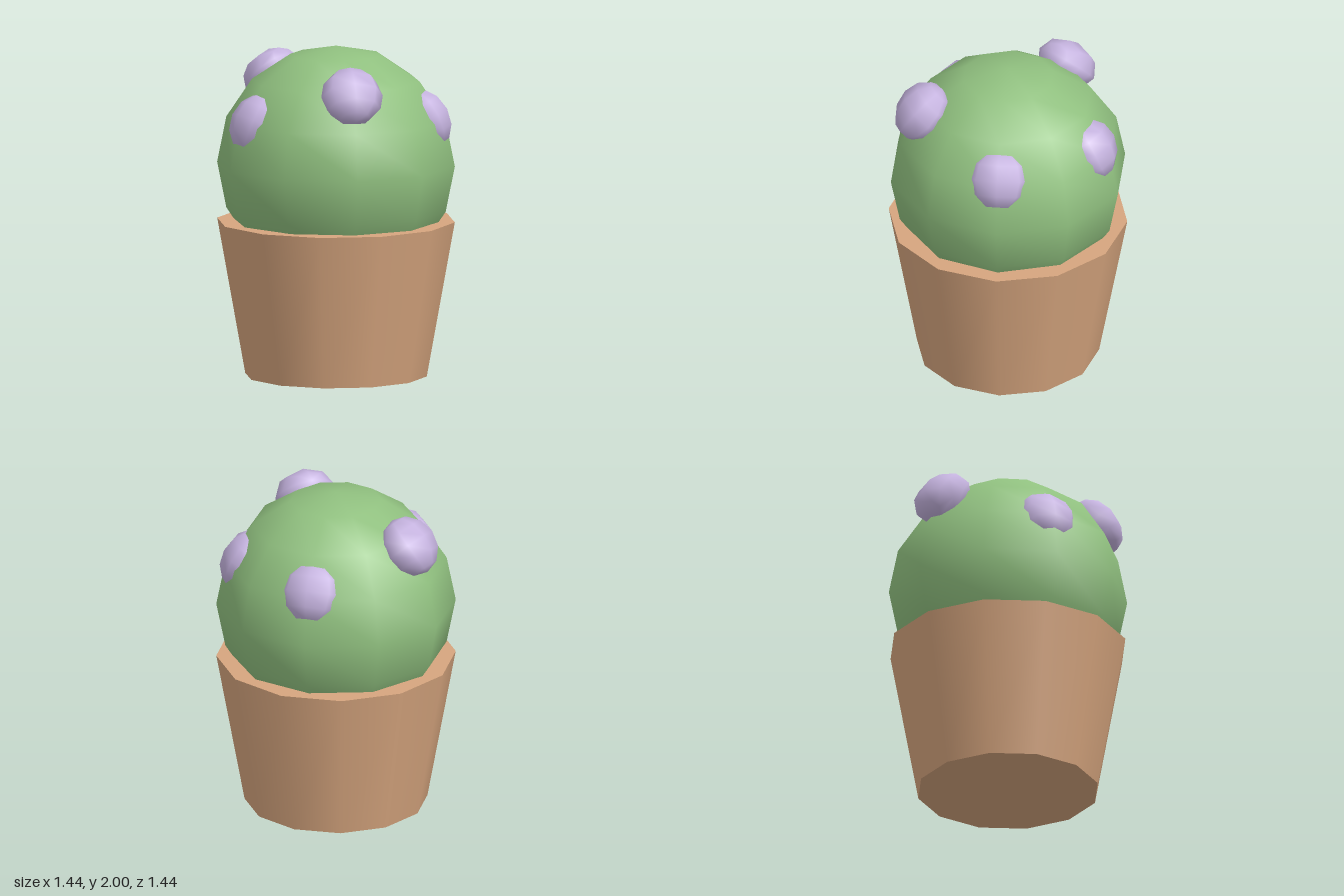
import * as THREE from 'three';

export function createModel() {
  const model = new THREE.Group();
  const terracotta = new THREE.MeshStandardMaterial({ color: 0xd6a57e });
  const cactusGreen = new THREE.MeshStandardMaterial({ color: 0x90c07f });
  const lilac = new THREE.MeshStandardMaterial({ color: 0xc5b3df });

  const add = (name, geometry, material, x, y, z) => {
    const mesh = new THREE.Mesh(geometry, material);
    mesh.name = name;
    mesh.position.set(x, y, z);
    model.add(mesh);
    return mesh;
  };

  // Tapered pot, filled to the rim
  const potHeight = 0.94;
  add('pot', new THREE.CylinderGeometry(0.72, 0.55, potHeight, 12), terracotta, 0, potHeight / 2, 0);

  // Round cactus body
  const bodyY = 1.28;
  add('cactusBody', new THREE.SphereGeometry(0.72, 10, 8), cactusGreen, 0, bodyY, 0);

  // Five flattened blossoms facing outward, alternately low and high
  const blossomGeometry = new THREE.SphereGeometry(0.188, 8, 6);
  for (let i = 0; i < 5; i++) {
    const angle = (i / 5) * Math.PI * 2;
    const high = i % 2 === 1;
    const reach = high ? 0.531 : 0.548;
    const rise = high ? 0.49 : 0.285;
    const x = Math.cos(angle) * reach;
    const z = Math.sin(angle) * reach;
    const blossom = add('blossom' + (i + 1), blossomGeometry, lilac, x, bodyY + rise, z);
    blossom.lookAt(x * 2, bodyY + rise * 2, z * 2);
    blossom.scale.z = 0.75;
  }

  return model;
}
